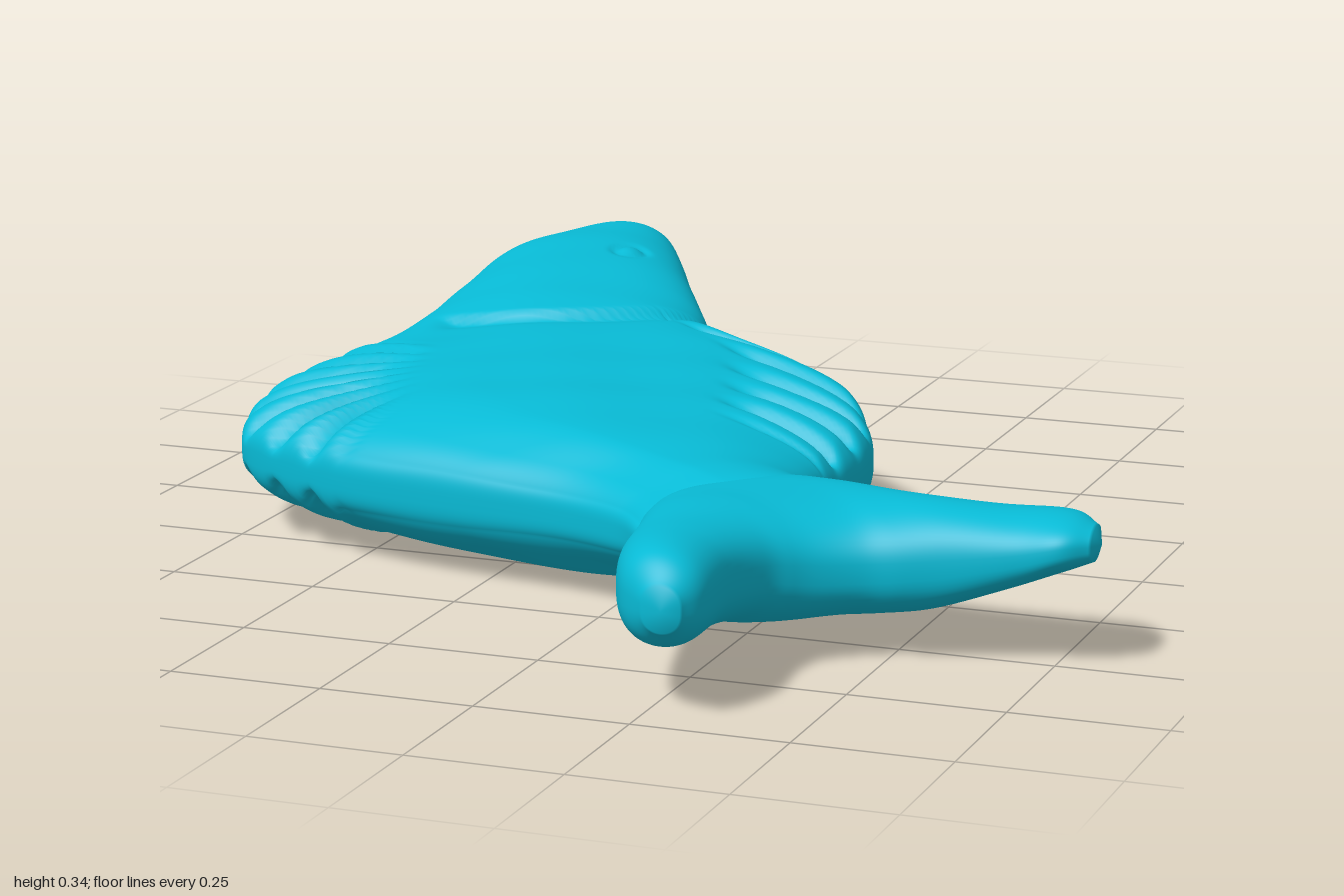
import * as THREE from 'three';

const gauss = (v, w) => Math.exp(-(v * v) / (w * w));
const smooth = (v, a, b) => THREE.MathUtils.smoothstep(v, a, b);

// Stations: [left x, left z, right x, right z, mid height, half thickness]
const bodyStations = [
  [-0.565, -0.99, -0.455, -0.985, 0.245, 0.05],
  [-0.62, -0.92, -0.41, -0.92, 0.235, 0.1],
  [-0.69, -0.79, -0.35, -0.81, 0.222, 0.12],
  [-0.71, -0.68, -0.29, -0.69, 0.215, 0.127],
  [-0.71, -0.52, -0.21, -0.55, 0.195, 0.133],
  [-0.71, -0.38, -0.15, -0.45, 0.178, 0.136],
  [-0.74, -0.27, 0.0, -0.365, 0.163, 0.136],
  [-0.805, -0.15, 0.16, -0.27, 0.154, 0.136],
  [-0.82, 0.02, 0.23, -0.15, 0.147, 0.138],
  [-0.78, 0.18, 0.27, -0.05, 0.142, 0.138],
  [-0.71, 0.27, 0.28, 0.06, 0.141, 0.136],
  [-0.52, 0.36, 0.275, 0.16, 0.141, 0.129],
  [-0.3, 0.41, 0.275, 0.23, 0.143, 0.118],
  [-0.1, 0.45, 0.29, 0.3, 0.146, 0.107],
  [0.03, 0.51, 0.33, 0.35, 0.15, 0.099],
  [0.1, 0.58, 0.41, 0.39, 0.152, 0.09],
  [0.17, 0.63, 0.43, 0.45, 0.157, 0.055],
];

// Crescent tail, from one lobe tip to the other
const tailStations = [
  [0.325, 0.988, 0.265, 0.99, 0.178, 0.035],
  [0.345, 0.93, 0.21, 0.94, 0.18, 0.075],
  [0.34, 0.81, 0.165, 0.83, 0.176, 0.082],
  [0.36, 0.72, 0.13, 0.68, 0.166, 0.089],
  [0.39, 0.675, 0.1, 0.57, 0.157, 0.096],
  [0.43, 0.64, 0.1, 0.47, 0.151, 0.099],
  [0.48, 0.61, 0.19, 0.35, 0.15, 0.099],
  [0.53, 0.595, 0.3, 0.34, 0.153, 0.095],
  [0.6, 0.578, 0.46, 0.382, 0.161, 0.084],
  [0.7, 0.565, 0.62, 0.39, 0.179, 0.062],
  [0.77, 0.56, 0.75, 0.4, 0.197, 0.043],
  [0.812, 0.53, 0.805, 0.45, 0.2, 0.026],
];

// Sweep a rounded section between two edge curves; relief() presses detail into both faces,
// a smaller roundness makes the faces flatter and the rims fuller
function loft(stations, steps, sides, relief, roundness) {
  const left = new THREE.CatmullRomCurve3(stations.map((s) => new THREE.Vector3(s[0], s[4], s[1])), false, 'catmullrom', 0.5);
  const right = new THREE.CatmullRomCurve3(stations.map((s) => new THREE.Vector3(s[2], s[5], s[3])), false, 'catmullrom', 0.5);
  const pos = [], index = [];
  for (let i = 0; i <= steps; i++) {
    const t = i / steps, L = left.getPoint(t), R = right.getPoint(t);
    for (let j = 0; j < sides; j++) {
      const a = (j / sides) * Math.PI * 2, u = Math.cos(a), s = Math.sin(a);
      const k = (u + 1) / 2;
      const x = L.x + (R.x - L.x) * k;
      let z = L.z + (R.z - L.z) * k;
      const h = R.y * Math.pow(Math.abs(s), roundness);
      const d = relief(x, z, u, t * (stations.length - 1)) * Math.min(1, Math.abs(s) * 3);
      // Small notch at the mouth
      z += 0.014 * gauss(x + 0.54, 0.014) * smooth(-z, 0.94, 0.98);
      pos.push(x, L.y + Math.sign(s) * (h + d), z);
      if (i < steps) {
        const n = (j + 1) % sides, p = i * sides;
        index.push(p + j, p + n, p + sides + j, p + n, p + sides + n, p + sides + j);
      }
    }
  }
  // Close both ends with a slightly domed fan
  [0, stations.length - 1].forEach((e, end) => {
    const s = stations[e], o = stations[end ? e - 1 : 1];
    const cx = (s[0] + s[2]) / 2, cz = (s[1] + s[3]) / 2;
    const dir = new THREE.Vector2(cx - (o[0] + o[2]) / 2, cz - (o[1] + o[3]) / 2).setLength(0.01);
    const c = pos.length / 3, p = end ? steps * sides : 0;
    pos.push(cx + dir.x, s[4], cz + dir.y);
    for (let j = 0; j < sides; j++) {
      const n = (j + 1) % sides;
      if (end) index.push(c, p + j, p + n);
      else index.push(c, p + n, p + j);
    }
  });
  const g = new THREE.BufferGeometry();
  g.setAttribute('position', new THREE.Float32BufferAttribute(pos, 3));
  g.setIndex(index);
  g.computeVertexNormals();
  return g;
}

// Gentle hand-shaped unevenness
const clay = (x, z) => 0.002 * Math.sin(x * 17 + z * 9) * Math.sin(z * 21 - x * 6);

// Fin groove from a phase running 0..1 over the fin
const finGroove = (p, rays) =>
  (0.006 - 0.03 * Math.pow(0.5 + 0.5 * Math.cos(p * rays * Math.PI * 2), 2)) * smooth(p, 0, 0.06) * (1 - smooth(p, 0.94, 1));

function bodyRelief(x, z, u, s) {
  let d = clay(x, z);
  // Curved gill cover: sharp on the head side, easing out over the body
  const gx = x + 0.52, gz = z + 0.7;
  const rim = Math.hypot(gx, gz) - 0.41;
  d -= 0.017 * gauss(rim, rim < 0 ? 0.009 : 0.04) * smooth(gz, 0.18, 0.27) * smooth(gx, -0.13, -0.06);
  // Eye: faint raised dot in a shallow ring
  const r = Math.hypot((x + 0.415) / 0.85, z + 0.685);
  d += 0.004 * gauss(r, 0.018) - 0.006 * gauss(r - 0.032, 0.01);
  if (u < 0) {
    // Thinner left fin with rays that fan out
    const fan = Math.atan2(z - 0.02, -0.35 - x);
    d += finGroove((fan + 0.6) / 1.75, 8) * smooth(-u, 0.42, 0.68);
    d -= 0.014 * smooth(-u, 0.2, 0.7) * smooth(s, 5, 7);
  } else {
    // Right fin rays sweep back and fade at the rim
    const swept = s + 2.4 * (1 - u);
    d += finGroove((swept - 6.2) / 5.4, 6) * smooth(u, 0.5, 0.72) * (1 - 0.6 * smooth(u, 0.93, 1));
  }
  return d;
}

export function createModel() {
  const teal = new THREE.MeshStandardMaterial({ color: 0x08bad5 });
  teal.name = 'turquoise';
  const group = new THREE.Group();
  group.name = 'flatFish';
  const add = (name, geometry) => {
    const mesh = new THREE.Mesh(geometry, teal);
    mesh.name = name;
    group.add(mesh);
  };
  add('bodyWithFins', loft(bodyStations, 220, 200, bodyRelief, 0.66));
  add('tailFin', loft(tailStations, 110, 72, clay, 0.76));
  return group;
}
